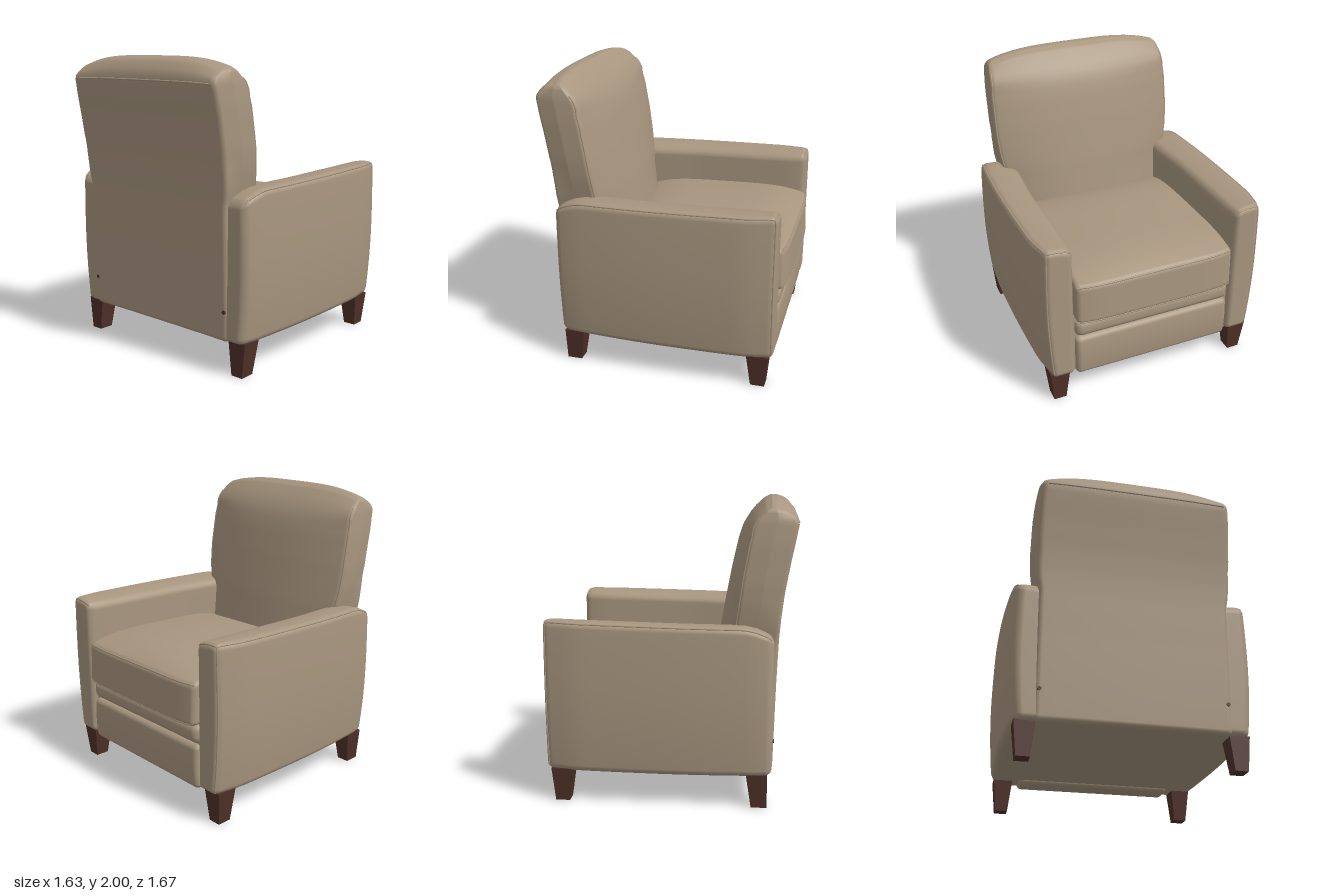
import * as THREE from 'three';
import { mergeVertices } from 'three/addons/utils/BufferGeometryUtils.js';

const fabric = new THREE.MeshStandardMaterial({ color: 0xa8967f });
fabric.name = 'taupe upholstery';
const wood = new THREE.MeshStandardMaterial({ color: 0x4f3028 });
wood.name = 'dark wood';

const smooth = THREE.MathUtils.smoothstep;

// linear lookup in [key, value, key, value, ...]
function table(t, k) {
  for (let i = 2; i < t.length; i += 2) {
    if (k <= t[i]) {
      const f = THREE.MathUtils.clamp((k - t[i - 2]) / (t[i] - t[i - 2]), 0, 1);
      return t[i - 1] + f * (t[i + 1] - t[i - 1]);
    }
  }
  return t[t.length - 1];
}

// a padded box: corners rounded by r, then every point moved by bend(p)
function place(s, x, y, z) {
  const p = new THREE.Vector3(x, y, z);
  const lim = new THREE.Vector3(s.w / 2 - s.r, s.h / 2 - s.r, s.d / 2 - s.r);
  const inner = p.clone().clamp(lim.clone().negate(), lim);
  p.sub(inner).setLength(s.r).add(inner);
  s.bend(p);
  return p;
}

function softBox(s, mid = 20, corner = 4) {
  const n = mid + 2 * corner;
  const g = new THREE.BoxGeometry(1, 1, 1, n, n, n);
  const pos = g.attributes.position;
  // spread grid lines so the corners get their own segments
  const spread = (c, size) => {
    const i = Math.round((c + 0.5) * n), half = size / 2, flat = half - s.r;
    const edge = (j) => flat + s.r * Math.tan((j / corner) * Math.PI / 4);
    if (i < corner) return -edge(corner - i);
    if (i > n - corner) return edge(i - n + corner);
    return -flat + (2 * flat * (i - corner)) / mid;
  };
  for (let i = 0; i < pos.count; i++) {
    const p = place(s, spread(pos.getX(i), s.w), spread(pos.getY(i), s.h), spread(pos.getZ(i), s.d));
    pos.setXYZ(i, p.x, p.y, p.z);
  }
  g.deleteAttribute('uv');
  g.deleteAttribute('normal');
  const out = mergeVertices(g, 1e-5);
  out.computeVertexNormals();
  return out;
}

// piping sewn along a straight run of a padded box
function piping(s, from, to, steps = 28) {
  const a = new THREE.Vector3(...from), b = new THREE.Vector3(...to), pts = [];
  for (let i = 0; i <= steps; i++) {
    const q = a.clone().lerp(b, i / steps);
    pts.push(place(s, q.x, q.y, q.z));
  }
  return new THREE.TubeGeometry(new THREE.CatmullRomCurve3(pts), steps * 2, 0.006, 8);
}

export function createModel() {
  const model = new THREE.Group();
  const add = (name, geo, mat = fabric) => {
    const m = new THREE.Mesh(geo, mat);
    m.name = name;
    model.add(m);
  };

  // base frame between the arms
  add('baseFrame', new THREE.BoxGeometry(1.2, 0.45, 1.41).translate(0, 0.447, -0.035));

  // backrest: leaning, widening above the arms, with a padded front
  const rearZ = [0.2, 0.7, 0.8, 0.714, 1.1, 0.725, 1.25, 0.736, 1.4, 0.754, 1.6, 0.788, 1.75, 0.818, 1.85, 0.836,
    1.9, 0.828, 1.95, 0.8, 1.985, 0.755, 2, 0.71];
  const frontZ = [0.2, 0.3, 0.9, 0.3, 1.2, 0.345, 1.5, 0.4, 1.7, 0.443, 1.8, 0.475, 1.87, 0.515,
    1.93, 0.565, 1.98, 0.62, 2, 0.66];
  const sideInset = [0.9, 0.13, 1.2, 0.1, 1.75, 0.075, 1.9, 0.04, 2, 0];
  const halfW = [0.2, 0.625, 1.1, 0.628, 1.2, 0.648, 1.32, 0.668, 1.45, 0.678, 1.7, 0.677, 1.9, 0.664, 2, 0.65];
  const back = {
    w: 1.3, h: 1.78, d: 0.36, r: 0.032,
    bend(p) {
      const u = p.x / 0.65, v = p.z / 0.18, y = p.y + 1.11;
      const f = table(frontZ, y) + table(sideInset, y) * Math.abs(u) ** 2.4, b = table(rearZ, y);
      p.x = u * table(halfW, y) * (1 - 0.04 * smooth(y, 1.15, 1.4) * Math.max(0, v));
      p.z = (f + b) / 2 + v * (b - f) / 2;
      p.y = y - 0.065 * Math.abs(u) ** 3.5 * smooth(y, 1.8, 2);
    },
  };
  add('backrest', softBox(back, 40));
  for (const s of [-1, 1]) {
    add('backrestSidePiping', piping(back, [s * 0.65, 0.05, -0.18], [s * 0.65, 0.8, -0.18]));
  }
  add('backrestRearSeam', piping(back, [-0.62, 0.74, 0.176], [0.62, 0.74, 0.176]));

  // arms: bulging outer side, soft inner edge, top sloping and rolling down at the rear
  for (const s of [-1, 1]) {
    const arm = {
      w: 0.24, h: 1.01, d: 1.48, r: 0.045,
      bend(p) {
        const y = p.y + 0.725, z = p.z - 0.045, out = (p.x * s) / 0.24 + 0.5;
        const dy = (y - 0.8) / 0.58, dz = z / 0.74, top = (y - 0.22) / 1.01;
        const outer = 0.817 - (z > 0 ? 0.04 : 0.02) * dz * dz - 0.03 * smooth(Math.abs(z), 0.55, 0.8)
          - (dy < 0 ? 0.035 : 0.018) * dy * dy;
        const inner = 0.565 - 0.025 * smooth(z, 0, 0.5) + 0.012 * smooth(-z, 0.65, 0.785);
        const roll = Math.max(0, (z - 0.48) / 0.22);
        p.x = s * (inner + out * (outer - inner));
        p.y = y - top * (0.028 * (z + 0.785) / 1.48 + 0.075 * roll * roll
          + 0.03 * Math.max(0, 1 - out) ** 3);
        p.z = z;
      },
    };
    const o = s * 0.12, t = 0.505, d = 0.74;
    add('arm', softBox(arm));
    add('armTopPiping', piping(arm, [o, t, -d], [o, t, d]));
    add('armFrontOuterPiping', piping(arm, [o, -t, -d], [o, t, -d]));
    add('armFrontTopPiping', piping(arm, [o, t, -d], [-o, t, -d], 12));
  }

  // seat cushion with a high crown and slightly flared front
  const seat = {
    w: 1.13, h: 0.28, d: 1.24, r: 0.03,
    bend(p) {
      const u = p.x / 0.565, v = p.z / 0.62, top = p.y / 0.28 + 0.5;
      p.z += -0.2 - 0.012 * (1 - top) * (1 - v) / 2 + 0.03 * u ** 6 * (1 - v) / 2;
      p.y += 0.785 + top * (0.09 * (1 - 0.4 * u * u) * (1 - v ** 4) - 0.015 * (v + 1));
    },
  };
  add('seatCushion', softBox(seat));
  add('seatFrontPiping', piping(seat, [-0.565, 0.14, -0.62], [0.565, 0.14, -0.62]));
  add('seatLowerPiping', piping(seat, [-0.565, -0.14, -0.62], [0.565, -0.14, -0.62]));

  // padded footrest panels under the seat
  for (const [name, y0, y1, z, r] of [
    ['footrestRoll', 0.505, 0.65, -0.775, 0.05],
    ['footrestPanel', 0.197, 0.505, -0.775, 0.035],
  ]) {
    const panel = {
      w: 1.13, h: y1 - y0, d: 0.2, r,
      bend(p) {
        const v = (2 * p.y) / (y1 - y0);
        if (p.z < 0) p.z -= 0.012 * (1 - v * v);
        p.y += (y0 + y1) / 2;
        p.z += z + 0.1;
      },
    };
    add(name, softBox(panel, 8));
  }

  // tapered legs: [top z range, bottom z range]
  for (const [name, t0, t1, b0, b1] of [
    ['frontLeg', -0.755, -0.61, -0.735, -0.64],
    ['rearLeg', 0.53, 0.668, 0.565, 0.668],
  ]) {
    for (const s of [-1, 1]) {
      const g = new THREE.BoxGeometry(1, 1, 1);
      const p = g.attributes.position;
      for (let i = 0; i < p.count; i++) {
        const up = p.getY(i) > 0, far = p.getZ(i) > 0;
        const out = p.getX(i) * s > 0;
        p.setXYZ(i, s * (out ? (up ? 0.745 : 0.722) : (up ? 0.61 : 0.635)), up ? 0.23 : 0,
          up ? (far ? t1 : t0) : (far ? b1 : b0));
      }
      g.computeVertexNormals();
      add(name, g, wood);
    }
  }

  // small rear fasteners
  for (const s of [-1, 1]) {
    const g = new THREE.CylinderGeometry(0.013, 0.013, 0.03, 12).rotateX(Math.PI / 2);
    add('rearFastener', g.translate(s * 0.602, 0.42, 0.694), wood);
  }
  return model;
}
